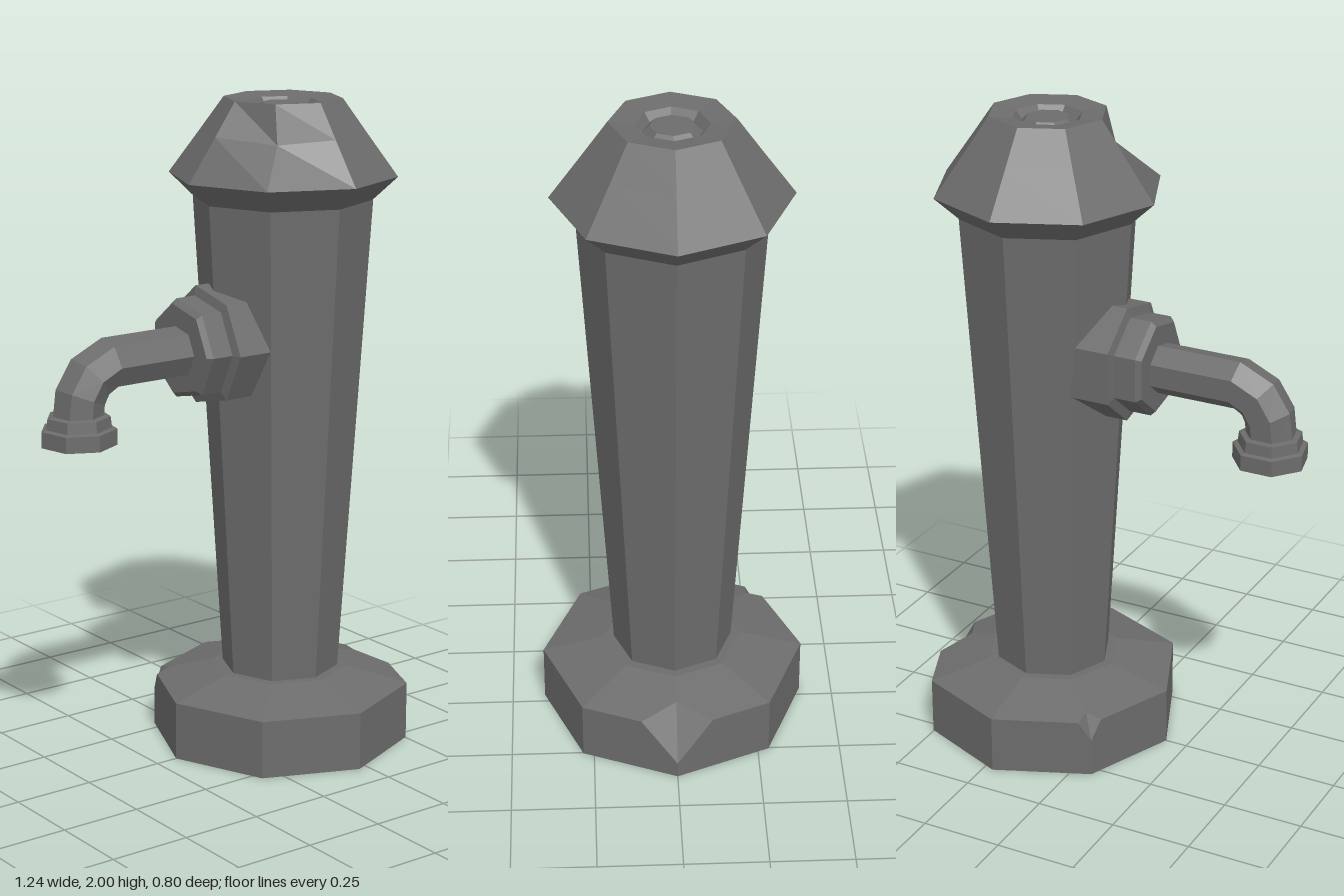
import * as THREE from 'three';

const CX = 0.22; // axis of the post
const castIron = new THREE.MeshStandardMaterial({ color: 0x6c6c6c, side: THREE.DoubleSide });
castIron.name = 'castIron';

// Faceted mesh: every face keeps its own normal
function facet(name, geometry) {
  const g = geometry.index ? geometry.toNonIndexed() : geometry;
  g.computeVertexNormals();
  const mesh = new THREE.Mesh(g, castIron);
  mesh.name = name;
  return mesh;
}

const lathe = (points, sides) =>
  new THREE.LatheGeometry(points.map(([r, y]) => new THREE.Vector2(r, y)), sides);

// Hollow octagonal foot with bevelled top; some rim corners are chipped off
function footGeometry() {
  const R = 0.4, N = 8, rimY = 0.18, innerR = 0.21, topY = 0.23;
  const chips = { 0: { cut: 0.38, low: 0.05, inset: 0.3 }, 5: { cut: 0.13, low: 0.12, inset: 0.35 } };
  const at = (i, r, y) => {
    const a = (i * Math.PI * 2) / N;
    return new THREE.Vector3(CX + r * Math.cos(a), y, r * Math.sin(a));
  };
  const corner = (i) => {
    const rim = at(i, R, rimY);
    const chip = chips[i % N];
    const c = { floor: at(i, R, 0), inner: at(i, innerR, topY), neck: at(i, 0.17, topY), chip };
    if (!chip) return { ...c, low: rim, top: rim, before: rim, after: rim };
    const t = (R - chip.inset) / (R - innerR);
    return {
      ...c,
      low: at(i, R, chip.low),
      top: at(i, chip.inset, rimY + (topY - rimY) * t),
      before: rim.clone().lerp(at(i - 1 + N, R, rimY), chip.cut),
      after: rim.clone().lerp(at(i + 1, R, rimY), chip.cut),
    };
  };
  const positions = [];
  const polygon = (...p) => {
    const q = p.filter((v, k) => v !== p[(k + 1) % p.length]);
    for (let k = 1; k < q.length - 1; k++) {
      for (const v of [q[0], q[k], q[k + 1]]) positions.push(v.x, v.y, v.z);
    }
  };
  const corners = Array.from({ length: N }, (_, i) => corner(i));
  corners.forEach((a, i) => {
    const b = corners[(i + 1) % N];
    polygon(a.floor, a.low, a.after, b.before, b.low, b.floor);
    polygon(a.inner, b.inner, b.top, b.before, a.after, a.top);
    polygon(a.neck, b.neck, b.inner, a.inner);
    if (a.chip) {
      polygon(a.top, a.after, a.low);
      polygon(a.top, a.low, a.before);
    }
  });
  const g = new THREE.BufferGeometry();
  g.setAttribute('position', new THREE.Float32BufferAttribute(positions, 3));
  return g;
}

// Domed cap with a sunken top and one dented corner
function capGeometry() {
  const g = lathe([[0.26, 1.69], [0.345, 1.77], [0.25, 1.9], [0.178, 2.0],
    [0.105, 1.99], [0.085, 1.965], [0.065, 1.985], [0, 1.985]], 8);
  const p = g.attributes.position;
  for (let i = 0; i < p.count; i++) {
    if (Math.abs(p.getY(i) - 1.9) < 0.01 && p.getX(i) < -0.1 && p.getZ(i) > 0.1) {
      p.setXYZ(i, -0.14, 1.885, 0.155);
    }
  }
  return g.translate(CX, 0, 0);
}

// Seven-sided pipe whose rings follow the bend: [x, y, turn in degrees]
function spoutGeometry() {
  const stations = [[-0.14, 1.275, 0], [-0.41, 1.275, 6], [-0.475, 1.243, 40],
    [-0.508, 1.19, 68], [-0.515, 1.12, 90]];
  const n = stations.length - 1;
  const g = new THREE.CylinderGeometry(0.077, 0.077, 1, 7, n, true);
  const p = g.attributes.position;
  for (let i = 0; i < p.count; i++) {
    const [x, y, turn] = stations[Math.round((p.getY(i) + 0.5) * n)];
    const a = THREE.MathUtils.degToRad(turn), r = p.getX(i);
    p.setXY(i, x - r * Math.sin(a), y + r * Math.cos(a));
  }
  return g;
}

export function createModel() {
  const model = new THREE.Group();
  model.name = 'waterPost';

  model.add(facet('foot', footGeometry()));
  model.add(facet('column', lathe([[0.176, 0.14], [0.181, 0.23], [0.272, 1.7]], 8).translate(CX, 0, 0)));
  model.add(facet('cap', capGeometry()));

  // Spout assembly on the side of the post
  const tap = new THREE.Group();
  tap.name = 'tap';
  tap.position.z = -0.01;
  const collar = lathe([[0.183, -0.07], [0.183, 0.065], [0.153, 0.072], [0.153, 0.14],
    [0.138, 0.155], [0, 0.155]], 7);
  collar.rotateZ(Math.PI / 2).translate(0, 1.28, 0);
  tap.add(facet('collar', collar));
  tap.add(facet('spout', spoutGeometry()));
  const nozzle = lathe([[0, 1.1], [0.078, 1.09], [0.085, 1.05], [0.113, 1.05], [0.113, 1.098],
    [0.098, 1.102], [0.094, 1.135], [0.07, 1.14]], 7);
  tap.add(facet('nozzle', nozzle.translate(-0.513, 0, 0)));
  model.add(tap);

  return model;
}
